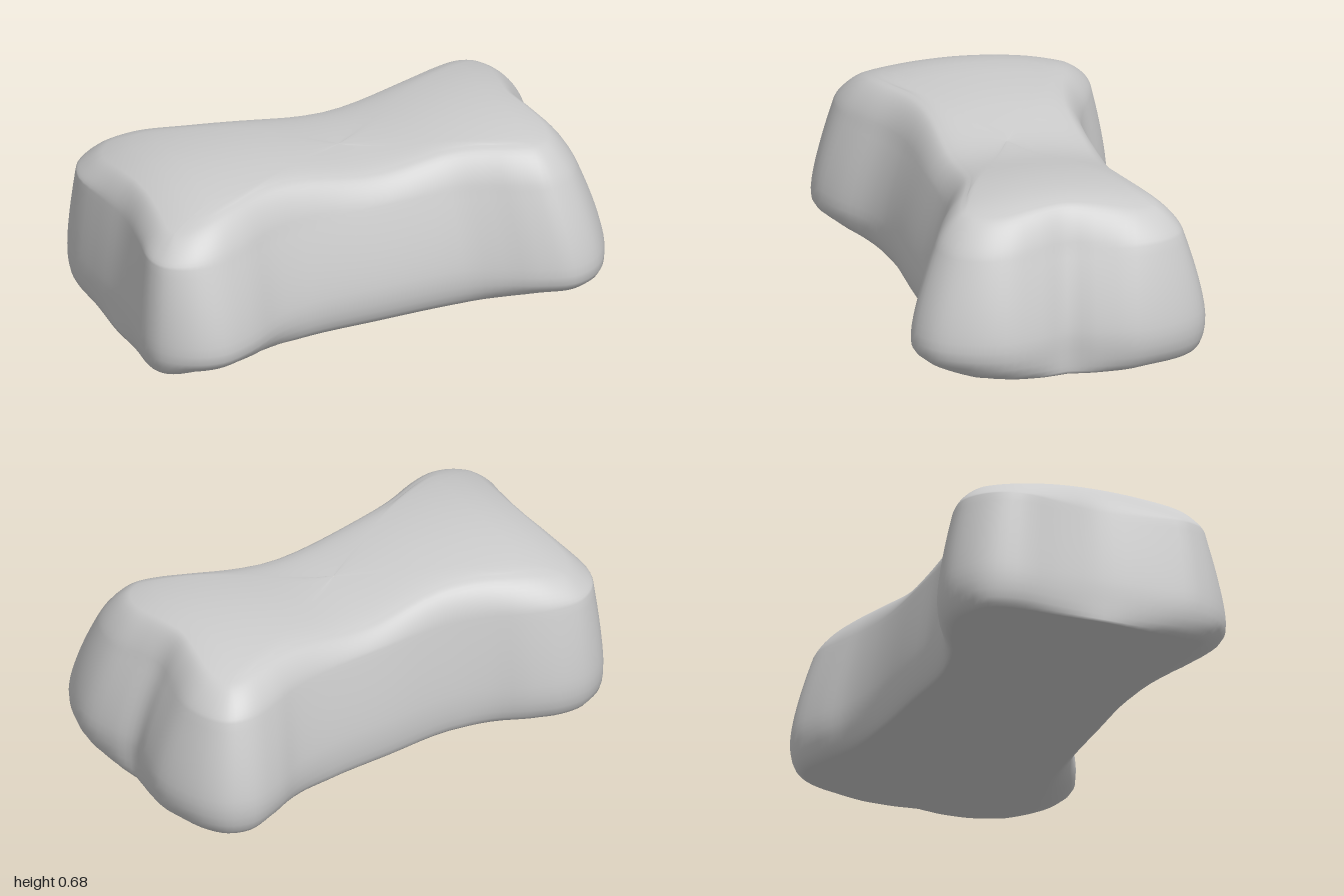
import * as THREE from 'three';

const { lerp, smoothstep } = THREE.MathUtils;

// Outline stations: [foot x, foot z, shoulder x, shoulder z], running from the left end round the back
const STATIONS = [
  [0.93, 0, 0.80, -0.03], [0.965, -0.11, 0.82, -0.14], [0.995, -0.27, 0.855, -0.30],
  [0.95, -0.46, 0.835, -0.41], [0.87, -0.565, 0.785, -0.47], [0.76, -0.6, 0.70, -0.485],
  [0.62, -0.56, 0.58, -0.45], [0.48, -0.49, 0.45, -0.405], [0.3, -0.45, 0.29, -0.375],
  [0, -0.435, 0, -0.365], [-0.28, -0.425, -0.28, -0.37], [-0.44, -0.47, -0.46, -0.415],
  [-0.58, -0.55, -0.6, -0.475], [-0.7, -0.592, -0.71, -0.51], [-0.82, -0.59, -0.82, -0.515],
  [-0.93, -0.52, -0.91, -0.45], [-0.985, -0.38, -0.955, -0.34], [-0.975, -0.18, -0.93, -0.16],
  [-0.965, 0, -0.905, 0], [-0.98, 0.2, -0.93, 0.19], [-1.0, 0.37, -0.955, 0.33],
  [-0.97, 0.47, -0.925, 0.41], [-0.87, 0.56, -0.84, 0.45], [-0.75, 0.588, -0.73, 0.45],
  [-0.61, 0.545, -0.6, 0.405], [-0.45, 0.455, -0.45, 0.335], [-0.3, 0.415, -0.3, 0.30],
  [0, 0.415, 0, 0.29], [0.35, 0.43, 0.32, 0.305], [0.5, 0.485, 0.46, 0.35],
  [0.63, 0.55, 0.58, 0.405], [0.76, 0.588, 0.69, 0.435], [0.88, 0.54, 0.785, 0.40],
  [0.96, 0.42, 0.84, 0.32], [0.995, 0.27, 0.855, 0.21], [0.965, 0.11, 0.825, 0.08],
];
const AROUND = 144;

const closedCurve = (k) => new THREE.CatmullRomCurve3(
  STATIONS.map((s) => new THREE.Vector3(s[k], 0, s[k + 1])), true);

// Softly saddled top: a shallow dip in the middle, falling off at both ends, crowned across
const topHeight = (x, z) =>
  0.682 - 0.066 * Math.exp(-(((x - 0.07) / 0.3) ** 2))
  - 0.8 * Math.max(0, Math.abs(x) - 0.62) ** 2 - 0.28 * z * z + 0.02 * z;

// 1 at the four lobes, 0 at the waist and the end notches
const lobe = (p) => Math.min(1, Math.abs(p.x * p.z) / 0.35);

// The lower edge tucks under most at the lobes, more in front than behind, little at the right end
const tuck = (amount) => (p) => {
  const waist = 0.4 * (1 - smoothstep(Math.abs(p.x), 0.5, 0.9));
  return amount * Math.max(0.08, lobe(p), waist) * (1 + 0.7 * p.z)
    * (1 - 0.5 * smoothstep(-p.x, 0.85, 0.98));
};

// The shoulder is tighter at the waist and notches
const roll = (amount) => (p) => amount * (0.6 + 0.4 * lobe(p));

// The underside lifts a little towards the front lobes
const lift = (z) => 0.2 * Math.max(0, z - 0.36);

function boneGeometry() {
  const foot = closedCurve(0), shoulder = closedCurve(2);
  const positions = [], index = [];
  let rings = 0;

  // One ring: blend of the outlines, inset along its normal, shrunk by scale
  function addRing(blend, inset, scale, height) {
    const pts = [];
    for (let i = 0; i < AROUND; i++) {
      pts.push(foot.getPoint(i / AROUND).lerp(shoulder.getPoint(i / AROUND), blend));
    }
    pts.forEach((p, i) => {
      const t = pts[(i + 1) % AROUND].clone().sub(pts[(i + AROUND - 1) % AROUND]).normalize();
      const d = inset(p);
      const x = (p.x + t.z * d) * scale;
      const z = (p.z - t.x * d) * scale;
      positions.push(x, height(x, z), z);
    });
    rings++;
  }

  // Underside, slightly hollow in the middle
  for (const s of [0.001, 0.25, 0.5, 0.75, 0.92, 1]) {
    addRing(0, tuck(0.1), s, (x, z) => 0.004 + 0.016 * (1 - s * s) + lift(z));
  }
  // Rounded lower edge
  for (const [inset, y] of [[0.065, 0.016], [0.036, 0.037], [0.014, 0.07], [0.002, 0.11]]) {
    addRing(0, tuck(inset), 1, (x, z) => y + lift(z) * (1 - y / 0.12));
  }
  // Sloping flanks
  for (let j = 0; j <= 10; j++) {
    const f = j / 10;
    addRing(0.72 * f ** 1.4, () => 0, 1, () => 0.15 + 0.35 * f);
  }
  // Broad shoulder rolling into the top
  for (let j = 1; j <= 9; j++) {
    const a = (j / 9) * (Math.PI / 2);
    addRing(0.72 + 0.28 * Math.sin(a), roll(0.09 * (1 - Math.cos(a))), 1,
      (x, z) => lerp(0.5, topHeight(x, z) - 0.008, Math.sin(a)));
  }
  // Top surface
  for (const s of [0.95, 0.88, 0.78, 0.66, 0.53, 0.4, 0.28, 0.15, 0.001]) {
    addRing(1, roll(0.09), s, (x, z) => topHeight(x, z) - 0.008 * s ** 8);
  }

  for (let j = 0; j < rings - 1; j++) {
    for (let i = 0; i < AROUND; i++) {
      const n = (i + 1) % AROUND;
      const a = j * AROUND + i, b = j * AROUND + n;
      const c = a + AROUND, d = b + AROUND;
      index.push(a, b, d, a, d, c);
    }
  }
  const g = new THREE.BufferGeometry();
  g.setAttribute('position', new THREE.Float32BufferAttribute(positions, 3));
  g.setIndex(index);
  g.computeVertexNormals();
  return g;
}

export function createModel() {
  const group = new THREE.Group();
  group.name = 'boneShapedBlock';
  const body = new THREE.Mesh(boneGeometry(), new THREE.MeshStandardMaterial({ color: 0xcccccc }));
  body.name = 'boneBody';
  group.add(body);
  return group;
}
